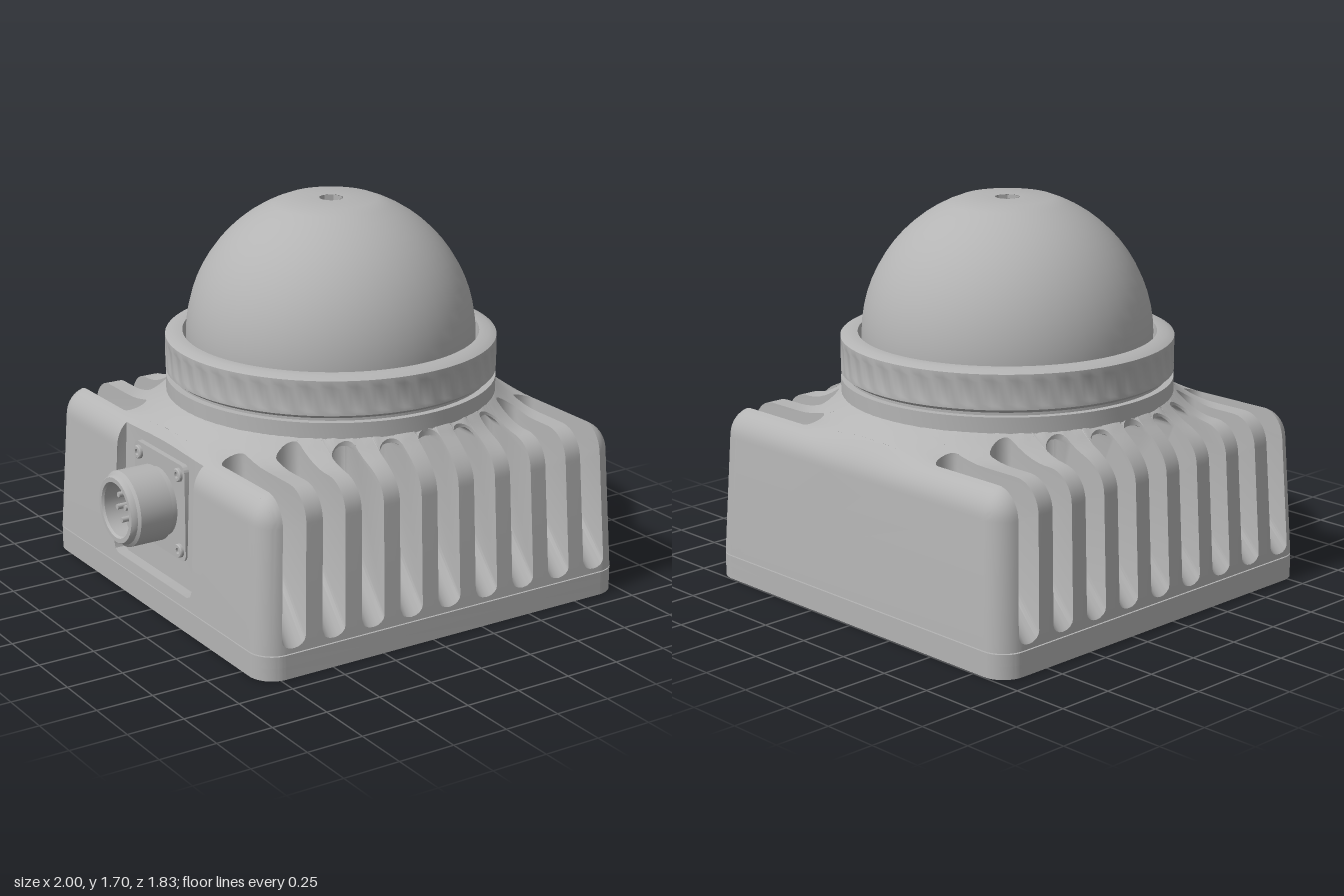
import * as THREE from 'three';
import { toCreasedNormals } from 'three/addons/utils/BufferGeometryUtils.js';

const CX = 0.08;                       // housing axis; the plug sticks out to -x
const HALF = 0.915, CORNER = 0.11, EDGE = 0.13, FLOOR = 0.11;
const NOTCH_X = -0.865, NOTCH_Z = 0.34, NOTCH_Y = 0.16;
const PITCH = 0.1925, SLOT = 0.056;    // cooling slots: spacing and half width
const SLOT_ENDS = [0.74, 0.73, 0.655, 0.52, 0.395]; // inner end, centre to outside

const clamp01 = (v) => Math.min(1, Math.max(0, v));

// Half depth of the rounded-square plan at x
function halfDepth(x) {
  const q = Math.max(0, Math.abs(x) - (HALF - CORNER));
  return HALF - CORNER + Math.sqrt(Math.max(0, CORNER * CORNER - q * q));
}

// Height of the housing's top skin: rounded rim, concave rise to the neck
function topY(x, z) {
  const qx = Math.abs(x) - (HALF - CORNER), qz = Math.abs(z) - (HALF - CORNER);
  const d = CORNER - Math.hypot(Math.max(qx, 0), Math.max(qz, 0)) - Math.min(Math.max(qx, qz), 0);
  const e = Math.max(0, EDGE - Math.max(0, d));
  const t = clamp01((0.93 - Math.hypot(x, z)) / 0.21);
  return 0.77 + 0.11 * t * t - (EDGE - Math.sqrt(Math.max(0, EDGE * EDGE - e * e)));
}

// Half outlines as [z, y], from the front foot up and over to the middle
function plainHalf(x) {
  const w = halfDepth(x), pts = [[w, FLOOR]];
  for (let i = 0; i <= 24; i++) {
    const z = w * (1 - (i / 24) ** 2);
    pts.push([z, topY(x, z)]);
  }
  return pts;
}
function slotInner(x, s, end) {
  const k = 0.04 * (1 - Math.sqrt(Math.max(0, 1 - s * s)));
  const zo = end + k, pivot = 0.6 + k, zi = Math.min(zo, pivot);
  const yTop = Math.min(0.83, topY(x, zo) - 0.01) - k * 0.3;
  return [[halfDepth(x), 0.13 + k], [pivot, 0.46 + k], [zi, 0.46 + k], [zi, yTop], [zo, yTop], [zo, topY(x, zo)]];
}
function slotHalf(x, s, end) {
  const inner = slotInner(x, s, end), zo = inner[5][0], pts = [[halfDepth(x), FLOOR], ...inner];
  for (let i = 1; i <= 14; i++) {
    const z = zo * (1 - i / 14);
    pts.push([z, topY(x, z)]);
  }
  return pts;
}
function notchHalf(x) {
  const w = halfDepth(x), pts = [[w, FLOOR]];
  for (let i = 0; i <= 16; i++) {
    const z = w - (w - NOTCH_Z) * (i / 16) ** 2;
    pts.push([z, topY(x, z)]);
  }
  pts.push([NOTCH_Z, NOTCH_Y + 0.04], [NOTCH_Z - 0.012, NOTCH_Y + 0.012], [NOTCH_Z - 0.04, NOTCH_Y], [0, NOTCH_Y]);
  return pts;
}
const whole = (half) => [...half, ...half.slice(0, -1).reverse().map(([z, y]) => [-z, y])];

// Housing: outlines swept along x, with flat side walls for the slots
function housingGeometry() {
  const pos = [];
  const put = (x, [z, y]) => {
    const s = 1 - 0.03 * clamp01((y - FLOOR) / 0.54); // draft of the walls
    pos.push(x * s, y, z * s);
  };
  const sweep = (xs, outline) => {
    for (let i = 0; i + 1 < xs.length; i++) {
      const a = whole(outline(xs[i])), b = whole(outline(xs[i + 1]));
      for (let j = 0; j + 1 < a.length; j++) {
        put(xs[i], a[j]); put(xs[i + 1], b[j]); put(xs[i + 1], b[j + 1]);
        put(xs[i], a[j]); put(xs[i + 1], b[j + 1]); put(xs[i], a[j + 1]);
      }
    }
  };
  const wall = (x, pts, side) => {
    const c = pts.filter((p, i) => i === 0 || Math.hypot(p[0] - pts[i - 1][0], p[1] - pts[i - 1][1]) > 1e-5)
      .map((p) => new THREE.Vector2(p[0], p[1]));
    for (const [a, b, d] of THREE.ShapeUtils.triangulateShape(c, [])) {
      const area = (c[b].x - c[a].x) * (c[d].y - c[a].y) - (c[b].y - c[a].y) * (c[d].x - c[a].x);
      const order = area * side < 0 ? [a, b, d] : [a, d, b];
      order.forEach((n) => put(x, [c[n].x, c[n].y]));
    }
  };
  const range = (a, b, n) => Array.from({ length: n + 1 }, (_, i) => a + (b - a) * i / n);

  for (let i = -4; i <= 4; i++) {
    const cx = i * PITCH, end = SLOT_ENDS[Math.abs(i)];
    const xs = range(-1, 1, 8).map((t) => cx + SLOT * Math.sin(t * Math.PI / 2));
    sweep(xs, (x) => slotHalf(x, (x - cx) / SLOT, end));
    if (i < 4) sweep(range(cx + SLOT, cx + PITCH - SLOT, 3), plainHalf);
    for (const side of [-1, 1]) {
      const x = cx + side * SLOT, inner = slotInner(x, 1, end);
      const skin = plainHalf(x).slice(1).filter((p) => p[0] > inner[5][0] + 1e-4);
      const face = [inner[0], ...skin, ...inner.slice(1).reverse()];
      wall(x, face, -side);
      wall(x, face.map(([z, y]) => [-z, y]), -side);
    }
  }

  // Rounded ends, the one at -x notched for the plug
  const edge = 4 * PITCH + SLOT;
  const round = (from) => range(0, 1, 9).map((t) => from + (HALF - from) * Math.sin(t * Math.PI / 2));
  sweep(round(edge), plainHalf);
  sweep(range(NOTCH_X, -edge, 4), plainHalf);
  sweep(round(-NOTCH_X).map((x) => -x).reverse(), notchHalf);
  wall(HALF, whole(plainHalf(HALF)), 1);
  wall(-HALF, whole(notchHalf(-HALF)), -1);
  const back = range(NOTCH_Z, -NOTCH_Z, 10).map((z) => [z, topY(NOTCH_X, z)]);
  wall(NOTCH_X, [[NOTCH_Z, NOTCH_Y], ...back, [-NOTCH_Z, NOTCH_Y]], -1);

  const geo = new THREE.BufferGeometry();
  geo.setAttribute('position', new THREE.Float32BufferAttribute(pos, 3));
  return toCreasedNormals(geo, 0.6);
}

function roundedSquare(h, r) {
  const s = new THREE.Shape();
  [[1, 1], [-1, 1], [-1, -1], [1, -1]].forEach(([a, b], i) =>
    s.absarc(a * (h - r), b * (h - r), r, i * Math.PI / 2, (i + 1) * Math.PI / 2, false));
  s.closePath();
  return s;
}

function lathe(points, segments) {
  return toCreasedNormals(new THREE.LatheGeometry(points.map(([r, y]) => new THREE.Vector2(r, y)), segments), 0.5);
}

export function createModel() {
  const model = new THREE.Group();
  const metal = new THREE.MeshStandardMaterial({ color: 0xb4b4b4, side: THREE.DoubleSide });
  metal.name = 'grey metal';
  const add = (name, geo, x = 0, y = 0, z = 0, parent = model) => {
    const m = new THREE.Mesh(geo, metal);
    m.name = name;
    m.position.set(x, y, z);
    parent.add(m);
    return m;
  };

  add('finnedHousing', housingGeometry(), CX);

  // Base plate: drilled lower layer under a solid one
  const drilled = roundedSquare(HALF, CORNER);
  const drill = (x, z, r) => drilled.holes.push(new THREE.Path().absarc(x, -z, r, 0, Math.PI * 2, true));
  const screwGeo = lathe([[0, 0.03], [0.026, 0.03], [0.028, 0.01], [0.042, 0.01], [0.046, 0.016], [0.046, 0.055]], 18);
  for (const sx of [-1, 1]) for (const sz of [-1, 1]) {
    drill(sx * 0.8, sz * 0.8, 0.056);
    drill(sx * 0.65, sz * 0.6, 0.025);
    add('baseScrew', screwGeo, CX + sx * 0.8, 0, sz * 0.8);
  }
  drill(0, -0.68, 0.045);
  drill(0, 0.5, 0.035);
  const plate = (shape, depth) => toCreasedNormals(
    new THREE.ExtrudeGeometry(shape, { depth, bevelEnabled: false, curveSegments: 12 }).rotateX(-Math.PI / 2), 0.6);
  add('basePlateLower', plate(drilled, 0.055), CX);
  add('basePlateUpper', plate(roundedSquare(HALF, CORNER), 0.05), CX, 0.055);
  add('baseSeam', plate(roundedSquare(HALF - 0.012, CORNER), 0.012), CX, 0.1);

  // Neck, then the fluted clamp ring
  add('neck', lathe([[0.72, 0.85], [0.72, 0.925], [0.66, 0.925]], 72), CX);
  add('neckGap', new THREE.CylinderGeometry(0.69, 0.69, 0.04, 64, 1, true), CX, 0.935);
  const ring = new THREE.LatheGeometry([[0.64, 0.94], [0.7, 0.94], [0.72, 0.955], [0.72, 0.97], [0.721, 0.98], [0.721, 1.07],
    [0.72, 1.08], [0.72, 1.105], [0.69, 1.12], [0.645, 1.12], [0.635, 1.05]].map((p) => new THREE.Vector2(...p)), 176);
  const rp = ring.attributes.position;
  for (let i = 0; i < rp.count; i++) {
    const x = rp.getX(i), z = rp.getZ(i), r = Math.hypot(x, z);
    if (r < 0.7205) continue;
    const f = 1 - 0.008 * clamp01(0.5 + Math.cos(44 * Math.atan2(z, x)));
    rp.setX(i, x * f);
    rp.setZ(i, z * f);
  }
  add('clampRing', toCreasedNormals(ring, 0.5), CX);

  // Dome with a flat crown and a small centre hole
  const dome = [];
  const crown = Math.acos(0.2 / 0.63);
  for (let i = 0; i <= 14; i++) {
    const a = -0.08 + (crown + 0.08) * i / 14;
    dome.push([0.63 * Math.cos(a), 1.1 + 0.63 * Math.sin(a)]);
  }
  const top = dome[14][1];
  add('dome', lathe([...dome, [0.052, top]], 48), CX);
  add('domeHole', lathe([[0.052, top], [0.052, top - 0.04], [0, top - 0.04]], 8), CX);

  // Round plug with its square flange, pointing to -x
  const plug = new THREE.Group();
  plug.name = 'plug';
  plug.position.set(-0.76, 0.49, 0);
  plug.rotation.z = Math.PI / 2;
  model.add(plug);
  add('flange', plate(roundedSquare(0.215, 0.035), 0.03), 0, -0.005, 0, plug);
  add('plugShell', lathe([[0.15, 0.02], [0.15, 0.05], [0.165, 0.055], [0.165, 0.205], [0.152, 0.215], [0.146, 0.235], [0.142, 0.24],
    [0.122, 0.24], [0.115, 0.23], [0.115, 0.1], [0, 0.1]], 40), 0, 0, 0, plug);
  const pin = new THREE.CylinderGeometry(0.012, 0.012, 0.1, 10);
  for (let i = 0; i < 7; i++) {
    const a = i * Math.PI * 2 / 7;
    add('contactPin', pin, 0.07 * Math.cos(a), 0.145, 0.07 * Math.sin(a), plug);
  }
  add('contactPin', pin, 0, 0.145, 0, plug);
  add('plugKey', new THREE.BoxGeometry(0.02, 0.1, 0.025), 0.107, 0.15, 0, plug);
  const flangeScrew = lathe([[0.03, 0.02], [0.03, 0.036], [0.026, 0.04], [0.014, 0.04], [0.013, 0.03], [0, 0.03]], 14);
  for (const a of [-1, 1]) for (const b of [-1, 1]) add('flangeScrew', flangeScrew, a * 0.17, 0, b * 0.17, plug);

  return model;
}
